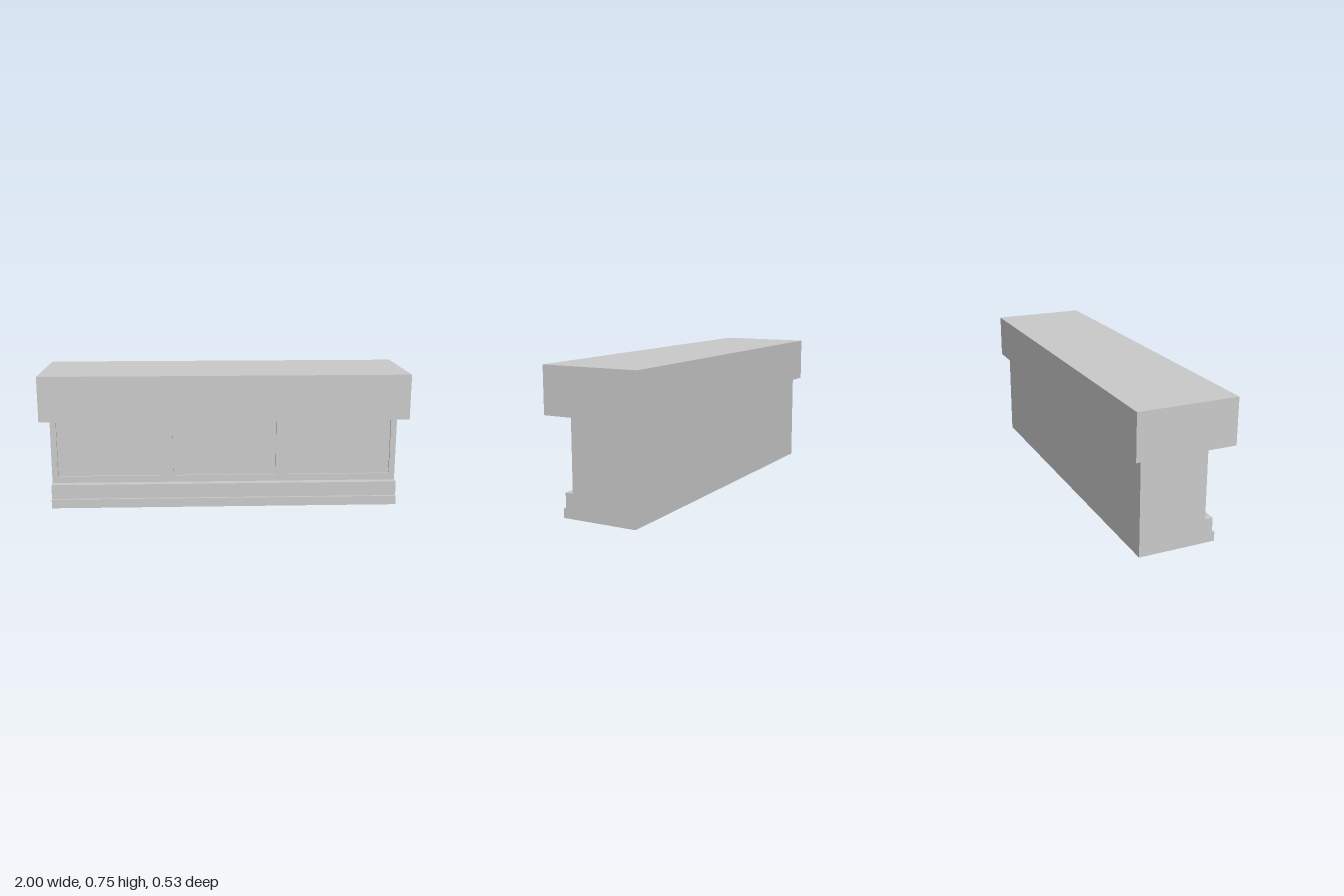
import * as THREE from 'three';

const material = new THREE.MeshStandardMaterial({ color: 0xcccccc, flatShading: true });

const HALF_LENGTH = 0.965; // half length of the body along x
const BODY_TOP = 0.51, TOP = 0.755;
const STEP_TOP = 0.13, BASE_TOP = 0.05;
const FRONT = 0.133, BACK = -0.225, RECESS = 0.01;

function addPart(group, name, geometry) {
  const mesh = new THREE.Mesh(geometry, material);
  mesh.name = name;
  group.add(mesh);
  return mesh;
}

function polygon(points, Type = THREE.Shape) {
  return new Type(points.map(([x, y]) => new THREE.Vector2(x, y)));
}

const rectangle = (x0, y0, x1, y1, Type) => polygon([[x0, y0], [x1, y0], [x1, y1], [x0, y1]], Type);

export function createModel() {
  const group = new THREE.Group();
  group.name = 'counter';

  // Thick overhanging top
  addPart(group, 'counterTop', new THREE.BoxGeometry(2, TOP - BODY_TOP, 0.532))
    .position.y = (TOP + BODY_TOP) / 2;

  // Body with stepped plinth: side profile (z, y) extruded along x
  const core = FRONT - RECESS;
  const profile = polygon([
    [BACK, 0], [0.19, 0], [0.19, BASE_TOP], [0.176, BASE_TOP],
    [0.176, STEP_TOP], [core, STEP_TOP], [core, BODY_TOP], [BACK, BODY_TOP],
  ]);
  const body = new THREE.ExtrudeGeometry(profile, { depth: 2 * HALF_LENGTH, bevelEnabled: false });
  body.rotateY(-Math.PI / 2).scale(1, 1, 1);
  // After the turn the profile's first axis points to +z and the depth to -x
  body.translate(HALF_LENGTH, 0, 0);
  addPart(group, 'body', body);

  // Front frame with three recessed panels
  const frame = rectangle(-HALF_LENGTH, STEP_TOP, HALF_LENGTH, BODY_TOP);
  const cell = (2 * HALF_LENGTH) / 3, margin = 0.033;
  for (let i = 0; i < 3; i++) {
    const x = -HALF_LENGTH + i * cell;
    frame.holes.push(rectangle(x + margin, STEP_TOP + 0.037, x + cell - margin, BODY_TOP - 0.035, THREE.Path));
  }
  addPart(group, 'frontPanelFrame', new THREE.ExtrudeGeometry(frame, { depth: RECESS, bevelEnabled: false }))
    .position.z = core;

  return group;
}
